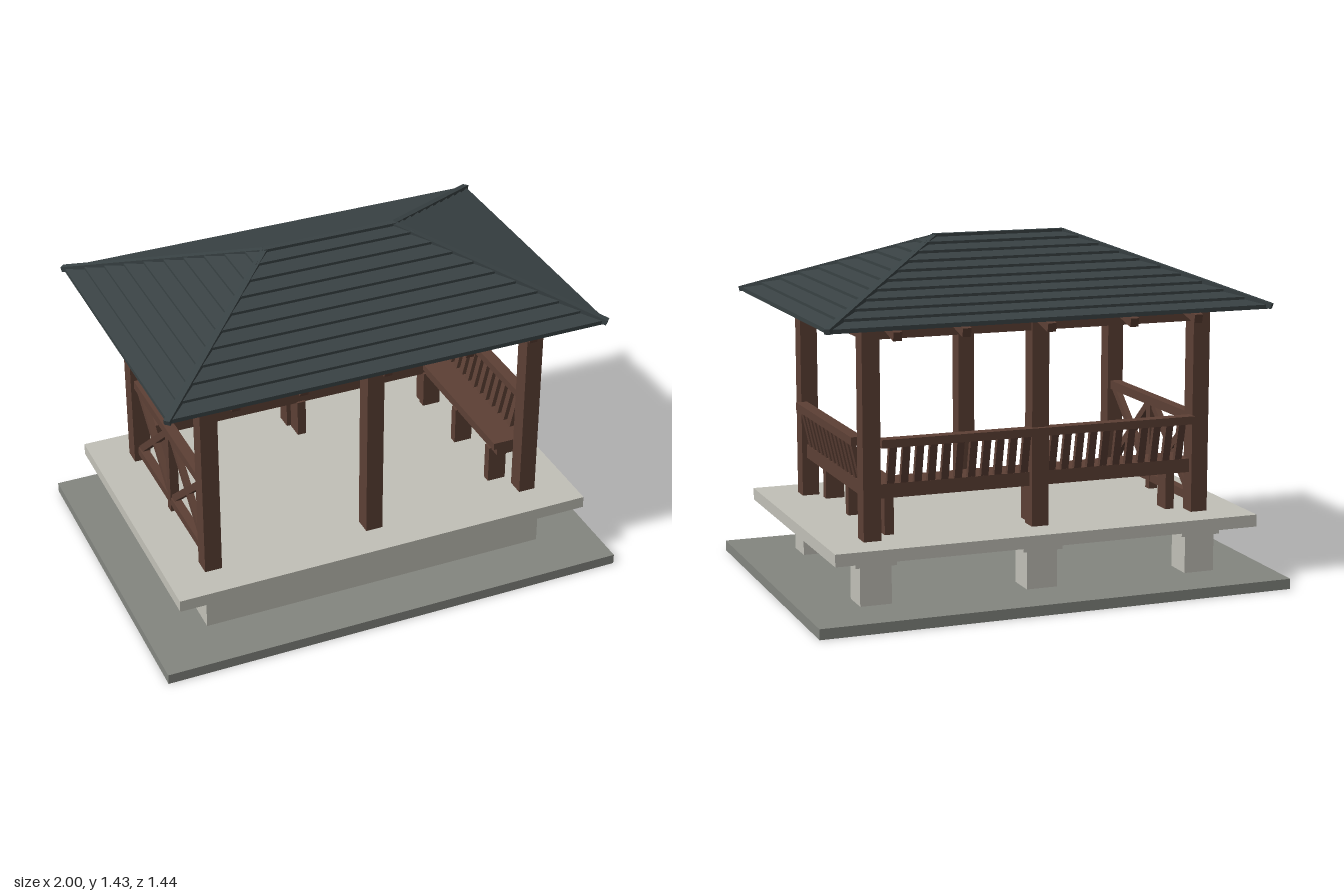
import * as THREE from 'three';

const mat = (name, color) => {
  const m = new THREE.MeshStandardMaterial({ color });
  m.name = name;
  return m;
};

export function createModel() {
  const wood = mat('brownWood', 0x5d4035);
  const roofMat = mat('darkRoof', 0x394244);
  const stone = mat('paleConcrete', 0xc2c1b8);
  const ground = mat('greyPaving', 0x848680);
  const model = new THREE.Group();
  model.name = 'pavilion';

  const group = (name, parent = model) => {
    const g = new THREE.Group();
    g.name = name;
    parent.add(g);
    return g;
  };
  // box from its min and max on each axis
  const box = (parent, name, m, x0, x1, y0, y1, z0, z1) => {
    const b = new THREE.Mesh(new THREE.BoxGeometry(x1 - x0, y1 - y0, z1 - z0), m);
    b.position.set((x0 + x1) / 2, (y0 + y1) / 2, (z0 + z1) / 2);
    b.name = name;
    parent.add(b);
    return b;
  };
  // straight bar from a to b
  const bar = (parent, name, m, a, b, w, h) => {
    const from = new THREE.Vector3(...a), to = new THREE.Vector3(...b);
    const s = new THREE.Mesh(new THREE.BoxGeometry(w, h, from.distanceTo(to)), m);
    s.position.copy(from).add(to).multiplyScalar(0.5);
    s.lookAt(to);
    s.name = name;
    parent.add(s);
    return s;
  };

  // base, foundation and floor
  const base = group('base');
  box(base, 'groundSlab', ground, -1, 1, 0, 0.043, -0.72, 0.72);
  box(base, 'floorSlab', stone, -0.9, 0.9, 0.245, 0.295, -0.605, 0.605);
  box(base, 'frontFoundation', stone, -0.75, 0.75, 0.043, 0.245, 0.36, 0.49);
  for (const x of [-0.7, 0, 0.7]) {
    box(base, 'pier', stone, x - 0.065, x + 0.065, 0.043, 0.2, -0.485, -0.36);
    box(base, 'pierCap', stone, x - 0.085, x + 0.085, 0.2, 0.245, -0.495, -0.353);
  }

  // posts and top beams
  const frame = group('frame');
  for (const z of [-0.4275, 0.4275]) {
    for (const x of [-0.705, 0, 0.705])
      box(frame, 'post', wood, x - 0.036, x + 0.036, 0.295, 1.158, z - 0.0375, z + 0.0375);
    box(frame, 'longBeam', wood, -0.67, 0.67, 1.09, 1.156, z - 0.028, z + 0.028);
  }
  for (const x of [-0.705, 0.705])
    box(frame, 'sideBeam', wood, x - 0.028, x + 0.028, 1.09, 1.156, -0.39, 0.39);

  // sloping rafter tails with a thin board on top
  for (const s of [-1, 1]) {
    for (const x of [-0.633, -0.353, 0, 0.353, 0.633])
      bar(frame, 'rafterTail', wood, [x, 1.167, s * 0.37], [x, 1.117, s * 0.58], 0.035, 0.036);
    bar(frame, 'eaveBoard', roofMat, [0, 1.172, s * 0.44], [0, 1.146, s * 0.55], 1.27, 0.006);
  }

  // roof slope: overlapping rows, outward is local +z
  const roof = group('roof');
  const EAVE = 1.15, RIDGE = 1.42, ROWS = 10;
  const slope = (name, eaveHalf, ridgeHalf, eaveOut, ridgeOut, turn) => {
    const g = group(name, roof);
    g.rotation.y = turn;
    const lerp = THREE.MathUtils.lerp;
    for (let i = 0; i < ROWS; i++) {
      const geo = new THREE.BoxGeometry(2, 1, 1);
      const p = geo.attributes.position;
      for (let k = 0; k < p.count; k++) {
        const low = p.getZ(k) > 0;
        const t = (low ? i : i + 1) / ROWS;
        const lift = p.getY(k) > 0 ? (low ? 0.017 : 0.006) : 0;
        p.setXYZ(k, Math.sign(p.getX(k)) * lerp(eaveHalf, ridgeHalf, t),
          lerp(EAVE, RIDGE, t) + lift, lerp(eaveOut, ridgeOut, t));
      }
      geo.computeVertexNormals();
      const row = new THREE.Mesh(geo, roofMat);
      row.name = 'roofRow';
      g.add(row);
    }
  };
  slope('frontSlope', 0.925, 0.28, 0.633, 0.002, 0);
  slope('backSlope', 0.925, 0.28, 0.633, 0.002, Math.PI);
  slope('leftSlope', 0.633, 0.003, 0.925, 0.28, Math.PI / 2);
  slope('rightSlope', 0.633, 0.003, 0.925, 0.28, -Math.PI / 2);
  box(roof, 'ridgeCap', roofMat, -0.285, 0.285, 1.41, 1.435, -0.014, 0.014);
  for (const sx of [-1, 1]) for (const sz of [-1, 1])
    bar(roof, 'hipCap', roofMat, [sx * 0.93, 1.16, sz * 0.638], [sx * 0.28, 1.423, 0], 0.026, 0.022);

  // bench with leaning back: length along x, outward +z, z = 0 at the posts' inner face
  const bench = (name, half, legs, slats) => {
    const g = group(name);
    box(g, 'seat', wood, -half, half, 0.485, 0.515, -0.09, 0.02);
    box(g, 'seatApron', wood, -half, half, 0.455, 0.485, -0.075, 0.012);
    box(g, 'lowerBackRail', wood, -half, half, 0.458, 0.515, 0.02, 0.05);
    box(g, 'topRail', wood, -half, half, 0.667, 0.7, 0.046, 0.095);
    for (const x of legs)
      box(g, 'benchLeg', wood, x - 0.019, x + 0.019, 0.295, 0.46, -0.085, -0.005);
    for (const x of slats)
      bar(g, 'backSlat', wood, [x, 0.5, 0.036], [x, 0.675, 0.076], 0.031, 0.02);
    return g;
  };
  const sideSlats = Array.from({ length: 13 }, (_, i) => (i - 6) * 0.0565);
  const backSlats = [];
  for (let i = 0; i < 11; i++) backSlats.push(0.06 + i * 0.056, -0.06 - i * 0.056);
  const left = bench('leftBench', 0.39, [-0.32, 0, 0.32], sideSlats);
  left.rotation.y = Math.PI / 2;
  left.position.x = 0.67;
  const back = bench('backBench', 0.67, [-0.61, 0, 0.61], backSlats);
  back.rotation.y = Math.PI;
  back.position.z = -0.39;

  // cross-braced railing on the right side
  const rail = group('crossRailing');
  const X = -0.705;
  box(rail, 'railTop', wood, X - 0.022, X + 0.022, 0.662, 0.7, -0.39, 0.39);
  box(rail, 'railBottom', wood, X - 0.018, X + 0.018, 0.328, 0.364, -0.39, 0.39);
  box(rail, 'railPost', wood, X - 0.019, X + 0.019, 0.295, 0.665, -0.019, 0.019);
  for (const s of [-1, 1]) {
    bar(rail, 'brace', wood, [X, 0.355, s * 0.015], [X, 0.67, s * 0.385], 0.026, 0.03);
    bar(rail, 'brace', wood, [X, 0.67, s * 0.015], [X, 0.355, s * 0.385], 0.025, 0.03);
  }
  return model;
}
